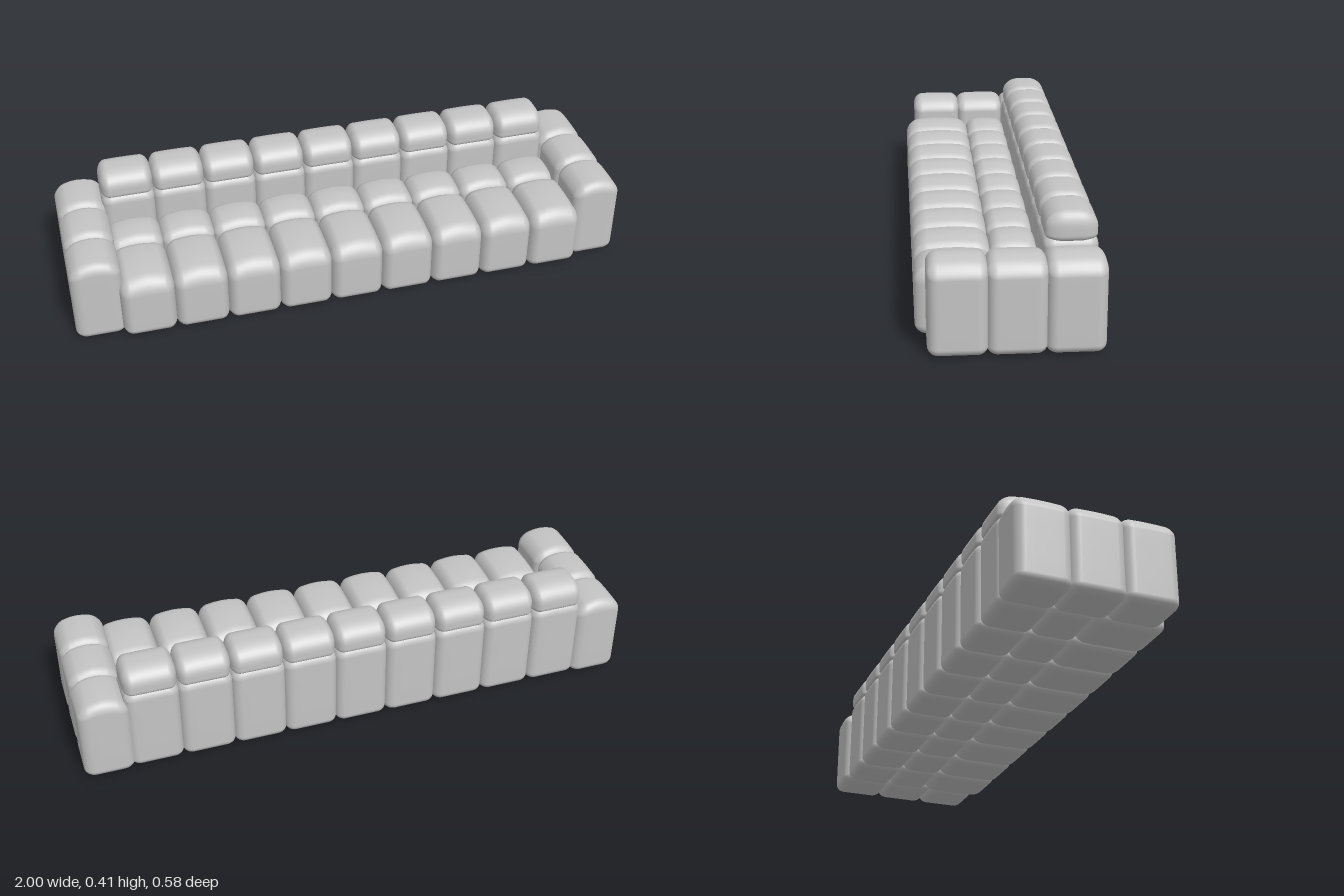
import * as THREE from 'three';
import { mergeVertices } from 'three/addons/utils/BufferGeometryUtils.js';

const fabric = new THREE.MeshStandardMaterial({ color: 0xc4c4c4 });
fabric.name = 'greyFabric';

// Puffed cushion: a box with elliptical corners and a crowned top.
// Each axis has 4 middle segments (flat) and 4 at each end (corner).
function cushionGeometry(w, h, d, { rx, rz, top, bottom, crownX = 0, crownZ = 0 }) {
  const geo = new THREE.BoxGeometry(2, 2, 2, 12, 12, 12);
  geo.deleteAttribute('uv');
  geo.deleteAttribute('normal');
  const pos = geo.attributes.position;
  const p = new THREE.Vector3();
  const u = new THREE.Vector3();
  const flat = (v) => Math.sign(v) * Math.min(1, Math.abs(v) * 3);
  const corner = (v) => Math.sign(v) * Math.tan(Math.max(0, (Math.abs(v) - 1 / 3) * 1.5) * Math.PI / 4);
  for (let i = 0; i < pos.count; i++) {
    p.fromBufferAttribute(pos, i);
    u.set(corner(p.x), corner(p.y), corner(p.z)).normalize();
    const x = flat(p.x) * (w / 2 - rx) + u.x * rx;
    const z = flat(p.z) * (d / 2 - rz) + u.z * rz;
    const level = (flat(p.y) + 1) / 2;
    let y = bottom + level * (h - top - bottom) + u.y * (u.y > 0 ? top : bottom);
    // Lower the rim of the top so that the middle stands proud
    const drop = crownX * (2 * x / w) ** 2 + crownZ * (2 * z / d) ** 2;
    y -= drop * Math.max(0, y / h) ** 3;
    pos.setXYZ(i, x, y, z);
  }
  const merged = mergeVertices(geo, 1e-5);
  merged.computeVertexNormals();
  return merged;
}

export function createModel() {
  const sofa = new THREE.Group();
  sofa.name = 'modularSofa';

  const add = (name, geo, x, y, z) => {
    const mesh = new THREE.Mesh(geo, fabric);
    mesh.name = name;
    mesh.position.set(x, y, z);
    sofa.add(mesh);
  };

  const pitch = 0.186;
  const width = pitch + 0.004;

  const frontSeat = cushionGeometry(width, 0.247, 0.254,
    { rx: 0.035, rz: 0.05, top: 0.06, bottom: 0.035, crownX: 0.02, crownZ: 0.012 });
  const innerSeat = cushionGeometry(width, 0.243, 0.156,
    { rx: 0.035, rz: 0.035, top: 0.04, bottom: 0.03, crownX: 0.02, crownZ: 0.012 });
  const backrest = cushionGeometry(width, 0.325, 0.174,
    { rx: 0.035, rz: 0.035, top: 0.035, bottom: 0.03, crownX: 0.006 });
  const backRoll = cushionGeometry(width, 0.105, 0.166,
    { rx: 0.032, rz: 0.06, top: 0.055, bottom: 0.025, crownX: 0.004, crownZ: 0.006 });
  const armBlock = cushionGeometry(0.176, 0.315, 0.187,
    { rx: 0.04, rz: 0.034, top: 0.04, bottom: 0.03, crownX: 0.03, crownZ: 0.004 });

  // Nine columns of seats, backrests and rolls
  for (let i = -4; i <= 4; i++) {
    const x = i * pitch;
    add('frontSeat', frontSeat, x, 0, 0.165);
    add('innerSeat', innerSeat, x, 0, -0.034);
    add('backrest', backrest, x, 0, -0.195);
    add('backRoll', backRoll, x, 0.3, -0.197);
  }

  // Three blocks in each arm
  for (const side of [-1, 1]) {
    for (const z of [0.164, -0.017, -0.198]) add('armBlock', armBlock, side * 0.912, 0, z);
  }
  return sofa;
}
